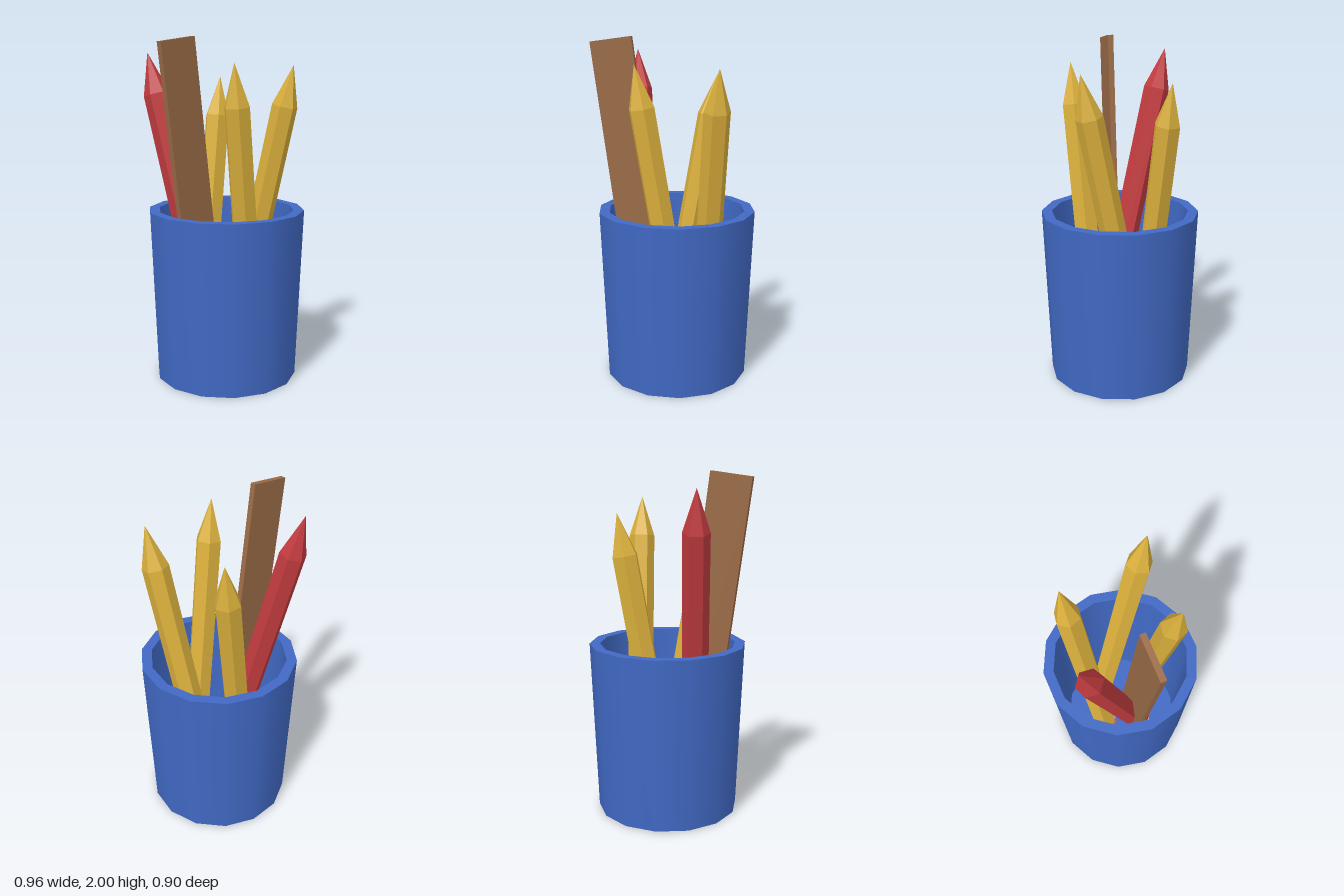
import * as THREE from 'three';
import { toCreasedNormals } from 'three/addons/utils/BufferGeometryUtils.js';

const material = (name, color) => {
  const m = new THREE.MeshStandardMaterial({ color });
  m.name = name;
  return m;
};

const mesh = (name, geometry, mat, y = 0) => {
  const m = new THREE.Mesh(geometry, mat);
  m.name = name;
  m.position.y = y;
  return m;
};

// Flat-faced prism or cone standing on its base
const prism = (rTop, rBottom, height, sides, turn = 0, open = false) =>
  toCreasedNormals(
    new THREE.CylinderGeometry(rTop, rBottom, height, sides, 1, open, turn).translate(0, height / 2, 0), 0.1);

export function createModel() {
  const blue = material('cup blue', 0x4169c4);
  const yellow = material('pencil yellow', 0xdbb03c);
  const red = material('pencil red', 0xc43c40);
  const pink = material('eraser pink', 0xd98caa);
  const brown = material('ruler brown', 0x9a6b47);

  const model = new THREE.Group();
  model.name = 'pencilCup';

  // Cup: each band turned separately so the edges between them stay sharp
  const cup = new THREE.Group();
  cup.name = 'cup';
  cup.position.x = 0.02;
  const profile = [[0, 0], [0.42, 0], [0.46, 1.01], [0.4, 1.01], [0.36, 0.05], [0, 0.05]];
  const bands = ['underside', 'outerWall', 'rim', 'innerWall', 'floor'];
  bands.forEach((name, i) => {
    const points = [profile[i], profile[i + 1]].map(([r, y]) => new THREE.Vector2(r, y));
    cup.add(mesh(name, new THREE.LatheGeometry(points, 14, Math.PI / 2), blue));
  });
  model.add(cup);

  // Pencils lean from the base point to the tip, one flat side facing the lean
  const addPencil = (name, mat, base, tip) => {
    const from = new THREE.Vector3(...base);
    const axis = new THREE.Vector3(...tip).sub(from);
    const length = axis.length();
    const eraser = 0.09, point = 0.24, r = 0.076;
    const pencil = new THREE.Group();
    pencil.name = name;
    pencil.add(
      mesh('eraser', prism(0.079, 0.079, eraser, 6, Math.PI / 6), pink),
      mesh('shaft', prism(r, r, length - eraser - point, 6), mat, eraser),
      mesh('point', prism(0, r, point, 6, 0, true), mat, length - point),
    );
    pencil.position.copy(from);
    pencil.rotation.order = 'YXZ';
    pencil.rotation.y = Math.atan2(-axis.z, axis.x);
    pencil.rotation.z = -Math.acos(axis.y / length);
    model.add(pencil);
  };
  addPencil('frontPencil', yellow, [0.11, 0.06, 0.145], [-0.17, 1.86, 0.249]);
  addPencil('leftPencil', yellow, [0.165, 0.06, -0.1], [0.297, 1.845, 0.27]);
  addPencil('backPencil', yellow, [-0.06, 0.06, -0.145], [0.22, 1.775, -0.25]);
  addPencil('redPencil', red, [-0.12, 0.06, 0.09], [-0.28, 1.915, -0.34]);

  // Ruler leaning to the right
  const ruler = mesh('ruler', new THREE.BoxGeometry(0.245, 1.94, 0.032), brown);
  ruler.position.set(-0.232, 1.024, 0);
  ruler.rotation.z = 0.133;
  model.add(ruler);

  return model;
}
